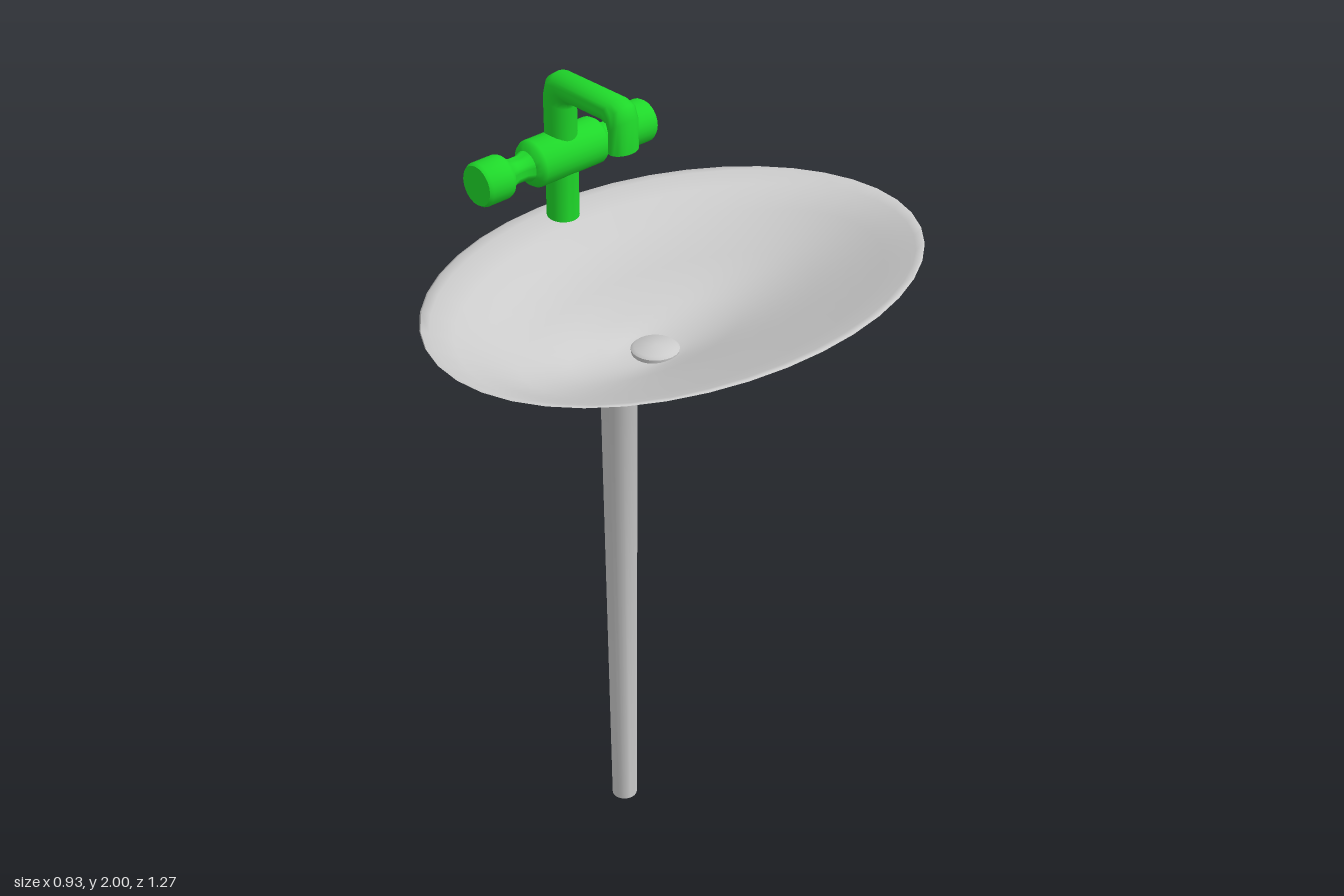
import * as THREE from 'three';
import { toCreasedNormals } from 'three/addons/utils/BufferGeometryUtils.js';

const Z0 = -0.01; // shared z of column, drain and tap
const grey = new THREE.MeshStandardMaterial({ color: 0xcccccc });
const green = new THREE.MeshStandardMaterial({ color: 0x1fd92a });

// Skin over closed rings of points, with both ends capped
function loft(rings, crease) {
  const n = rings[0].length;
  const points = rings.flat();
  const index = [];
  for (let i = 0; i < rings.length - 1; i++) {
    for (let j = 0; j < n; j++) {
      const a = i * n + j, b = i * n + (j + 1) % n;
      index.push(a, a + n, b, b, a + n, b + n);
    }
  }
  for (const [i, flip] of [[0, false], [rings.length - 1, true]]) {
    const centre = new THREE.Vector3();
    rings[i].forEach(p => centre.addScaledVector(p, 1 / n));
    const c = points.push(centre) - 1;
    for (let j = 0; j < n; j++) {
      const a = i * n + j, b = i * n + (j + 1) % n;
      index.push(c, flip ? b : a, flip ? a : b);
    }
  }
  const geometry = new THREE.BufferGeometry().setFromPoints(points);
  geometry.setIndex(index);
  return toCreasedNormals(geometry, crease);
}

function ring(n, place) {
  return Array.from({ length: n }, (_, j) => place(j / n * Math.PI * 2));
}

function lathe(profile, segments) {
  const pts = profile.map(([r, y]) => new THREE.Vector2(r, y));
  return toCreasedNormals(new THREE.LatheGeometry(pts, segments), 0.7);
}

function part(name, geometry, material, x = 0, y = 0, z = 0) {
  const mesh = new THREE.Mesh(geometry, material);
  mesh.name = name;
  mesh.position.set(x, y, z);
  return mesh;
}

// Lopsided oval bowl: up the outside, over the rim, down to the drain
function basinGeometry() {
  const sections = [ // y, left edge x, right edge x, half depth
    [1.30, -0.27, -0.115, 0.08],
    [1.33, -0.29, -0.085, 0.13],
    [1.42, -0.36, 0.07, 0.295],
    [1.50, -0.42, 0.21, 0.425],
    [1.56, -0.46, 0.315, 0.515],
    [1.60, -0.469, 0.385, 0.575],
    [1.63, -0.46, 0.44, 0.62],
    [1.643, -0.44, 0.464, 0.634],
    [1.645, -0.41, 0.46, 0.625],
    [1.638, -0.33, 0.44, 0.595],
    [1.60, -0.27, 0.365, 0.53],
    [1.52, -0.215, 0.205, 0.41],
    [1.45, -0.175, 0.065, 0.24],
    [1.415, -0.14, 0.0, 0.10],
    [1.405, -0.11, -0.03, 0.04],
  ];
  return loft(sections.map(([y, x0, x1, depth]) => {
    const mid = (x0 + x1) / 2, half = (x1 - x0) / 2;
    return ring(40, t => new THREE.Vector3(
      mid + half * (Math.cos(t) + 0.04 * Math.sin(t) ** 2), y, depth * Math.sin(t)));
  }), 1.0);
}

// Tap pipe: stem, elbow, arm and downturned outlet
function spoutGeometry() {
  const sections = [ // outer x, outer y, inner x, inner y
    [-0.415, 1.635, -0.341, 1.635],
    [-0.415, 1.95, -0.341, 1.92],
    [-0.405, 1.983, -0.338, 1.932],
    [-0.38, 2.0, -0.325, 1.94],
    [-0.18, 2.0, -0.21, 1.94],
    [-0.152, 1.99, -0.197, 1.935],
    [-0.14, 1.96, -0.193, 1.92],
    [-0.14, 1.88, -0.193, 1.88],
  ];
  return loft(sections.map(([ox, oy, ix, iy]) => ring(20, t => new THREE.Vector3(
    (ox + ix) / 2 + (ix - ox) / 2 * Math.cos(t),
    (oy + iy) / 2 + (iy - oy) / 2 * Math.cos(t),
    Z0 + 0.039 * Math.sin(t)))), 0.9);
}

// Valve body with a waisted knob at each end
function valveGeometry() {
  const half = [ // radius, distance from the middle
    [0.056, 0.09], [0.05, 0.1], [0.036, 0.108], [0.03, 0.125], [0.03, 0.15],
    [0.036, 0.167], [0.049, 0.178], [0.052, 0.186], [0.052, 0.244], [0.047, 0.252], [0, 0.252],
  ];
  const mirrored = half.map(([r, d]) => [r, -d]).reverse();
  return lathe([...mirrored, ...half], 24).rotateX(Math.PI / 2);
}

export function createModel() {
  const model = new THREE.Group();
  model.name = 'pedestalSink';

  model.add(part('basin', basinGeometry(), grey));

  // Tapered column with a flared collar
  model.add(part('column', lathe([
    [0, 0], [0.032, 0], [0.044, 1.25], [0.049, 1.262], [0.06, 1.27],
    [0.065, 1.285], [0.08, 1.292], [0.086, 1.305], [0.086, 1.315], [0, 1.315],
  ], 24), grey, -0.193, 0, Z0));

  // Low domed drain plug
  model.add(part('drain', lathe([
    [0, 0], [0.055, 0], [0.057, 0.02], [0.05, 0.026], [0, 0.029],
  ], 24), grey, -0.07, 1.395, Z0 - 0.004));

  const tap = new THREE.Group();
  tap.name = 'tap';
  tap.add(part('spout', spoutGeometry(), green));
  tap.add(part('valveAndKnobs', valveGeometry(), green, -0.378, 1.8, Z0 - 0.003));
  model.add(tap);

  return model;
}
